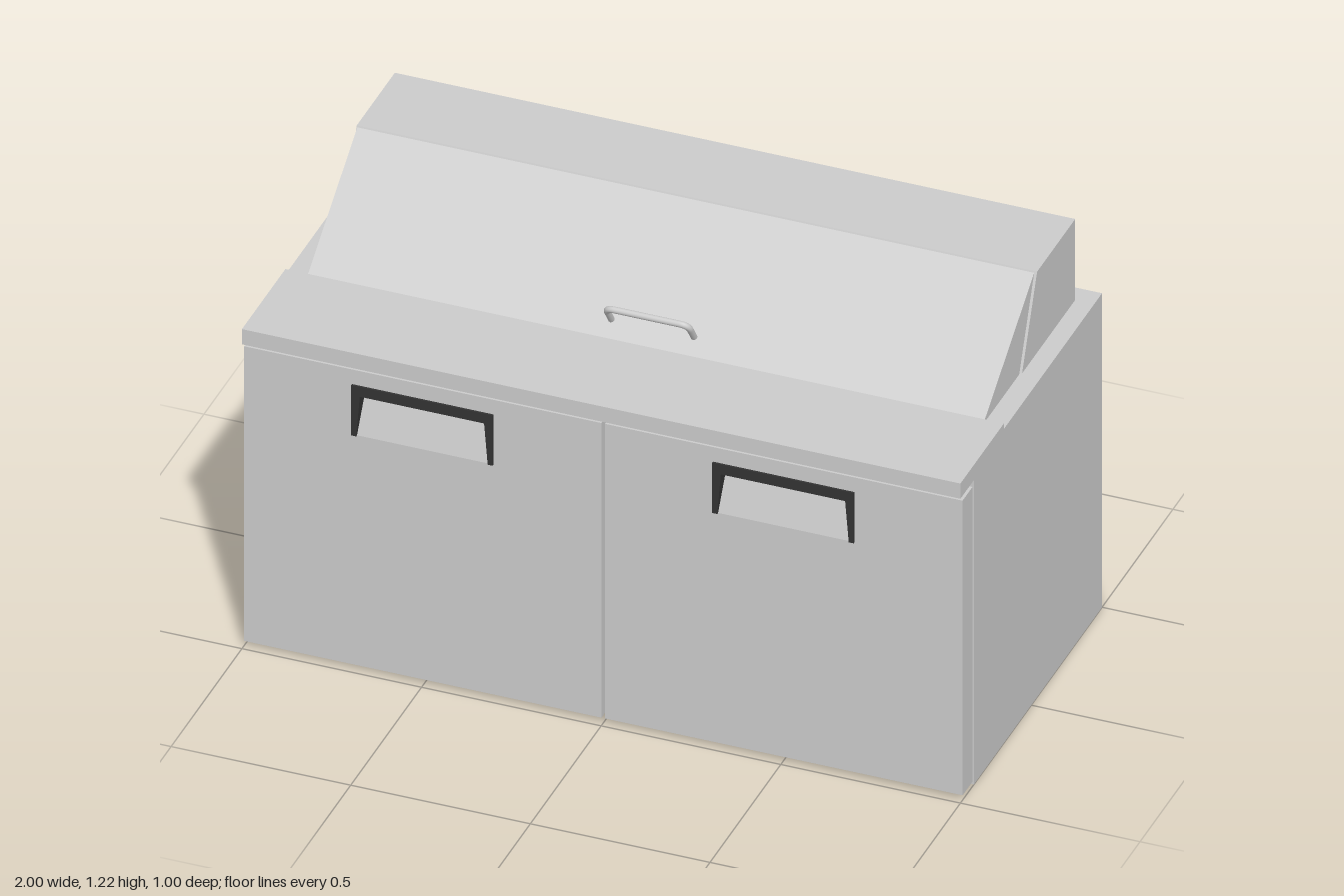
import * as THREE from 'three';

const steel = new THREE.MeshStandardMaterial({ color: 0xcccccc });
const black = new THREE.MeshStandardMaterial({ color: 0x333333 });

function outline(points) {
  return new THREE.Shape(points.map(([x, y]) => new THREE.Vector2(x, y)));
}

function addMesh(parent, name, geometry, material = steel) {
  const mesh = new THREE.Mesh(geometry, material);
  mesh.name = name;
  parent.add(mesh);
  return mesh;
}

// Side profile given as [z, y], extruded along x and centred on x = 0
function profile(points, width) {
  const g = new THREE.ExtrudeGeometry(outline(points), { depth: width, bevelEnabled: false });
  return g.rotateY(-Math.PI / 2).translate(width / 2, 0, 0);
}

// Door with a pull pocket: opening, sloped back and dark surround
function createDoor(name, x) {
  const door = new THREE.Group();
  door.name = name;
  door.position.x = x;
  const w = 0.4975, hw = 0.197, bottom = 0.725, top = 0.88;

  const panel = outline([[-w, 0.015], [w, 0.015], [w, 0.925], [-w, 0.925]]);
  panel.holes.push(new THREE.Path([
    new THREE.Vector2(-hw, bottom), new THREE.Vector2(-hw, top),
    new THREE.Vector2(hw, top), new THREE.Vector2(hw, bottom),
  ]));
  addMesh(door, 'doorPanel',
    new THREE.ExtrudeGeometry(panel, { depth: 0.07, bevelEnabled: false }).translate(0, 0, 0.415));

  addMesh(door, 'pocketBack',
    profile([[0.415, bottom], [0.485, bottom], [0.44, top], [0.415, top]], hw * 2));

  const surround = outline([
    [-hw, bottom], [-hw + 0.014, bottom], [-hw + 0.024, 0.85], [hw - 0.024, 0.85],
    [hw - 0.014, bottom], [hw, bottom], [hw, top], [-hw, top],
  ]);
  addMesh(door, 'pocketSurround',
    new THREE.ExtrudeGeometry(surround, { depth: 0.06, bevelEnabled: false }).translate(0, 0, 0.431), black);
  return door;
}

// Bent rod standing square to the sloped lid
function createLidHandle() {
  const hw = 0.115, r = 0.025, len = 0.078;
  const at = (x, d) => new THREE.Vector3(x, 1.004 + d * 0.82, 0.133 + d * 0.57);
  const path = new THREE.CurvePath();
  path.add(new THREE.LineCurve3(at(-hw, 0), at(-hw, len - r)));
  path.add(new THREE.QuadraticBezierCurve3(at(-hw, len - r), at(-hw, len), at(-hw + r, len)));
  path.add(new THREE.LineCurve3(at(-hw + r, len), at(hw - r, len)));
  path.add(new THREE.QuadraticBezierCurve3(at(hw - r, len), at(hw, len), at(hw, len - r)));
  path.add(new THREE.LineCurve3(at(hw, len - r), at(hw, 0)));
  return new THREE.TubeGeometry(path, 72, 0.009, 12);
}

export function createModel() {
  const model = new THREE.Group();
  model.name = 'refrigeratedPrepTable';

  // Cabinet and the worktop lapping over its front edge
  addMesh(model, 'cabinet', new THREE.BoxGeometry(2, 0.97, 0.905).translate(0, 0.485, -0.0475));
  addMesh(model, 'worktop', profile([
    [0.405, 0.94], [0.5, 0.94], [0.5, 0.987], [0.193, 0.987], [0.193, 0.97], [0.405, 0.97],
  ], 2));

  // Doors
  model.add(createDoor('leftDoor', 0.5025), createDoor('rightDoor', -0.5025));

  // Fixed rear hood and sloped front lid, parted by a thin slanted gap
  addMesh(model, 'rearHood', profile([
    [-0.445, 0.97], [-0.07, 0.97], [-0.176, 1.22], [-0.445, 1.22],
  ], 1.894));
  addMesh(model, 'frontLid', profile([[-0.062, 0.97], [0.192, 0.97], [-0.168, 1.22]], 1.884));
  addMesh(model, 'lidHandle', createLidHandle());

  return model;
}
